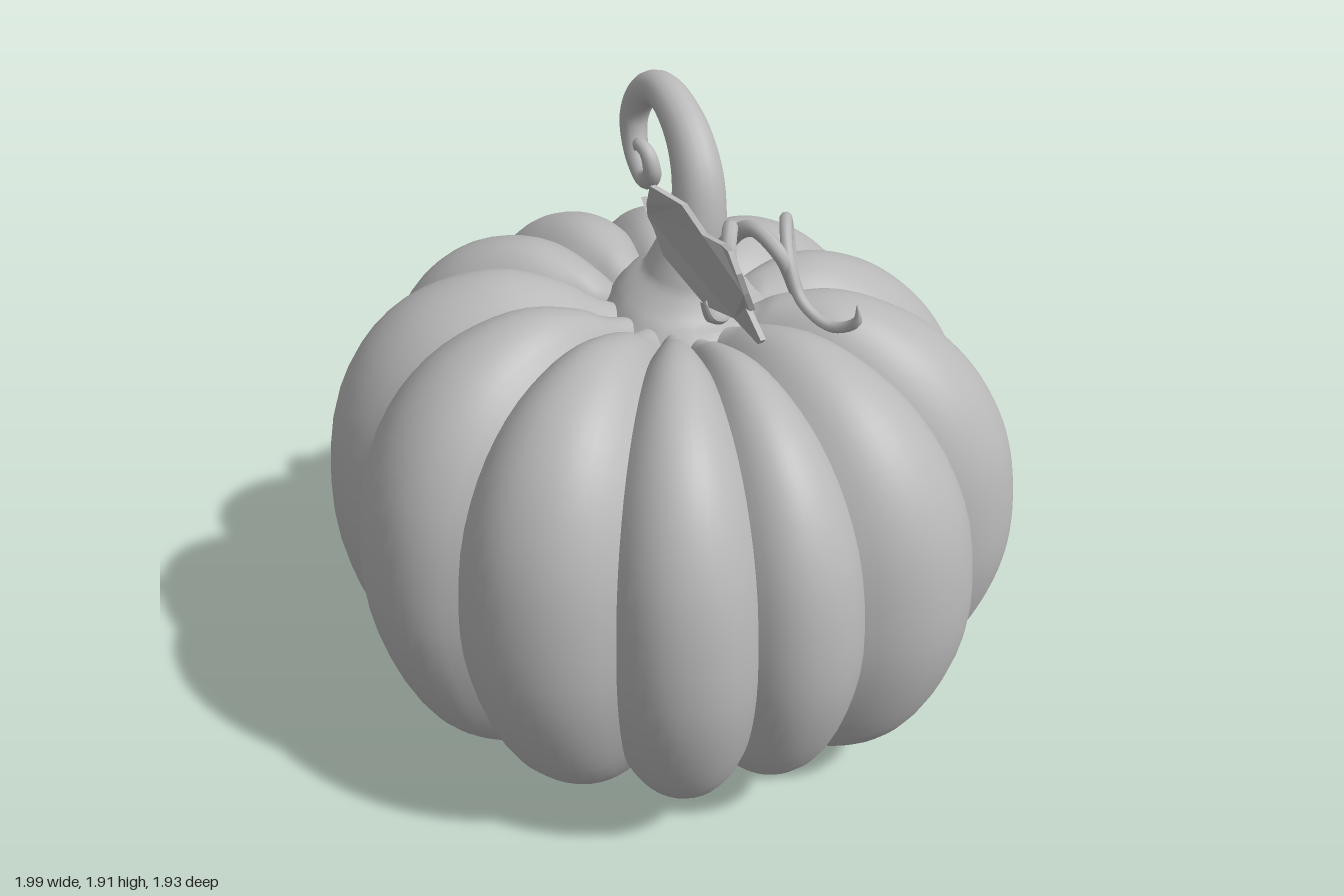
import * as THREE from 'three';

const grey = new THREE.MeshStandardMaterial({ color: 0xb8b8b8 });
grey.name = 'plain grey';

// Lobes: groove angle (degrees), groove radius, radius of the lobe that follows
const LOBES = [
  [-13.7, .915, .995], [18.8, .915, 1.015], [54, .88, 1], [85.6, .9, .96], [105.4, .89, .985], [128.8, .9, .985],
  [157.6, .91, 1], [185.8, .945, 1], [220.7, .86, .97], [253.2, .89, .97], [282, .9, .975], [309.7, .9, .99],
];
const CARVED = [11, 0, 1];

// Upright section of a lobe, from bottom centre to top centre
const profile = new THREE.SplineCurve([
  [0, .13], [.1, .11], [.25, .045], [.42, .005], [.58, .03], [.73, .11], [.87, .25], [.96, .45], [1, .68],
  [.97, .95], [.88, 1.15], [.75, 1.29], [.6, 1.37], [.45, 1.4], [.3, 1.37], [.2, 1.32], [0, 1.28],
].map(p => new THREE.Vector2(...p)));

// Face openings as (z, y) outlines
const HOLES = [
  [[.53, .89], [.5, 1.01], [.37, 1.12], [.28, 1.02], [.265, .88]],
  [[-.135, .88], [-.165, .98], [-.27, 1.095], [-.38, .98], [-.43, .89]],
  [[.12, .76], [.1, .85], [.055, .91], [-.01, .8], [-.02, .76]],
  [[.625, .785], [.5, .715], [.475, .62], [.4, .62], [.39, .67], [.315, .645], [.265, .545], [.2, .55], [.16, .62],
    [.04, .62], [.005, .54], [-.06, .55], [-.1, .63], [-.17, .6], [-.25, .575], [-.29, .62], [-.315, .68],
    [-.43, .72], [-.54, .78], [-.54, .65], [-.475, .465], [-.44, .49], [-.37, .48], [-.32, .405], [-.16, .375],
    [-.11, .46], [-.05, .44], [-.03, .36], [.09, .345], [.125, .44], [.185, .45], [.23, .36], [.39, .42],
    [.42, .51], [.47, .53], [.52, .455], [.59, .6]],
];

// Signed distance to the openings, negative inside
function holeDistance(z, y) {
  let best = Infinity, inside = false;
  for (const hole of HOLES) hole.forEach(([ax, ay], i) => {
    const [bx, by] = hole[(i + 1) % hole.length];
    const dx = bx - ax, dy = by - ay;
    const t = THREE.MathUtils.clamp(((z - ax) * dx + (y - ay) * dy) / (dx * dx + dy * dy), 0, 1);
    best = Math.min(best, Math.hypot(z - ax - t * dx, y - ay - t * dy));
    if ((ay > y) !== (by > y) && z < ax + (y - ay) / dy * dx) inside = !inside;
  });
  return inside ? -best : best;
}

// Smooth grid for one lobe
function lobeGeometry(k, nu, nv) {
  const [a0, n0, R] = LOBES[k], [a1, n1] = LOBES[(k + 1) % LOBES.length];
  const span = (a1 - a0 + 360) % 360, pos = [], index = [];
  const section = profile.getPoints(nv);
  for (let j = 0; j <= nv; j++) for (let i = 0; i <= nu; i++) {
    const u = i / nu, angle = THREE.MathUtils.degToRad(a0 + span * u);
    const bump = 1 - Math.abs(2 * u - 1) ** 2.2;
    const full = THREE.MathUtils.lerp(THREE.MathUtils.lerp(n0, n1, u), R, bump);
    const rho = Math.max(section[j].x, 0);
    const f = 1 - (1 - full) * Math.min(1, rho / .3);
    const x = rho * f * Math.cos(angle), z = rho * f * Math.sin(angle);
    pos.push(x, Math.max(0, (.7 + (section[j].y - .7) * f) * (1 - .07 * x)), z);
    if (i < nu && j < nv) {
      const a = j * (nu + 1) + i, b = a + nu + 1;
      index.push(a, b, a + 1, a + 1, b, b + 1);
    }
  }
  const g = new THREE.BufferGeometry();
  g.setAttribute('position', new THREE.Float32BufferAttribute(pos, 3));
  g.setIndex(index);
  g.computeVertexNormals();
  return g;
}

// Cut the openings out of a lobe; the cut edge becomes wall strips to the inside
function carve(g) {
  const P = g.attributes.position, N = g.attributes.normal, idx = g.index.array;
  const verts = [];
  for (let i = 0; i < P.count; i++) verts.push({
    p: new THREE.Vector3().fromBufferAttribute(P, i),
    n: new THREE.Vector3().fromBufferAttribute(N, i), d: holeDistance(P.getZ(i), P.getY(i)),
  });
  const pos = [], nor = [], wall = [];
  for (let t = 0; t < idx.length; t += 3) {
    const kept = [];
    let start, end;
    for (let c = 0; c < 3; c++) {
      const a = verts[idx[t + c]], b = verts[idx[t + (c + 1) % 3]];
      if (a.d >= 0) kept.push(a);
      if ((a.d >= 0) !== (b.d >= 0)) {
        const s = a.d / (a.d - b.d);
        const cut = { p: a.p.clone().lerp(b.p, s), n: a.n.clone().lerp(b.n, s).normalize() };
        kept.push(cut);
        if (a.d >= 0) start = cut; else end = cut;
      }
    }
    for (let i = 1; i + 1 < kept.length; i++) for (const v of [kept[0], kept[i], kept[i + 1]]) {
      pos.push(...v.p); nor.push(...v.n);
    }
    if (start) {
      const a = start.p, b = end.p, c = inward(a), d = inward(b);
      for (const v of [b, a, c, b, c, d]) wall.push(...v);
    }
  }
  const skin = new THREE.BufferGeometry(), walls = new THREE.BufferGeometry();
  skin.setAttribute('position', new THREE.Float32BufferAttribute(pos, 3));
  skin.setAttribute('normal', new THREE.Float32BufferAttribute(nor, 3));
  walls.setAttribute('position', new THREE.Float32BufferAttribute(wall, 3));
  walls.computeVertexNormals();
  return { skin, walls };
}

const inward = p => new THREE.Vector3(p.x * .88, .7 + (p.y - .7) * .88, p.z * .88);

// Inner skin: shrunken copy turned inside out
function innerSkin(source) {
  const g = source.index ? source.toNonIndexed() : source.clone();
  g.translate(0, -.7, 0).scale(.88, .88, .88).translate(0, .7, 0);
  for (const name of ['position', 'normal']) {
    const a = g.attributes[name].array;
    for (let i = 0; i < a.length; i += 9) for (let c = 0; c < 3; c++) {
      [a[i + 3 + c], a[i + 6 + c]] = [a[i + 6 + c], a[i + 3 + c]];
    }
    if (name === 'normal') for (let i = 0; i < a.length; i++) a[i] = -a[i];
  }
  return g;
}

// Tube through [x, y, z, radius] points
function taperedTube(points, segments, sides) {
  const curve = new THREE.CatmullRomCurve3(points.map(p => new THREE.Vector3(p[0], p[1], p[2])));
  const g = new THREE.TubeGeometry(curve, segments, 1, sides);
  const P = g.attributes.position, v = new THREE.Vector3();
  for (let i = 0; i < P.count; i++) {
    const u = Math.floor(i / (sides + 1)) / segments, c = curve.getPointAt(u);
    const t = curve.getUtoTmapping(u) * (points.length - 1), k = Math.min(Math.floor(t), points.length - 2);
    const r = THREE.MathUtils.lerp(points[k][3], points[k + 1][3], t - k);
    v.fromBufferAttribute(P, i).sub(c).multiplyScalar(r).add(c);
    P.setXYZ(i, v.x, v.y, v.z);
  }
  g.computeVertexNormals();
  return g;
}

// Lobed leaf standing in the z-y plane, leaning and slightly cupped
function leafGeometry() {
  const outline = [[.72, 1.82], [.64, 1.835], [.57, 1.815], [.5, 1.81], [.47, 1.885], [.39, 1.91], [.34, 1.84],
    [.29, 1.775], [.2, 1.78], [.195, 1.7], [.26, 1.635], [.34, 1.65], [.42, 1.56], [.5, 1.555], [.57, 1.51],
    [.63, 1.56], [.58, 1.63], [.67, 1.68], [.7, 1.75]];
  const shape = new THREE.Shape(outline.map(([z, y]) => new THREE.Vector2(-z, y)));
  const g = new THREE.ExtrudeGeometry(shape, { depth: .015, bevelEnabled: false }).rotateY(Math.PI / 2);
  const P = g.attributes.position;
  for (let i = 0; i < P.count; i++) {
    const y = P.getY(i), z = P.getZ(i);
    P.setX(i, P.getX(i) - .12 - .37 * (y - 1.53) + .03 * Math.sin(z * 14));
  }
  g.computeVertexNormals();
  return g;
}

export function createModel() {
  const model = new THREE.Group();
  const add = (name, geometry, parent = model) => {
    const mesh = new THREE.Mesh(geometry, grey);
    mesh.name = name;
    parent.add(mesh);
  };

  // Hollow pumpkin
  const body = new THREE.Group();
  body.name = 'pumpkinBody';
  model.add(body);
  LOBES.forEach((_, k) => {
    const carved = CARVED.includes(k);
    let skin = lobeGeometry(k, carved ? 44 : 14, carved ? 120 : 48);
    if (carved) {
      const cut = carve(skin);
      skin = cut.skin;
      add('carvedWalls', cut.walls, body);
    }
    add('lobe', skin, body);
    add('innerLobe', innerSkin(skin), body);
  });

  // Curled stem
  add('stem', taperedTube([
    [.055, 1.27, -.02, .25], [.055, 1.33, -.02, .2], [.06, 1.4, -.01, .13], [.07, 1.5, 0, .095], [.08, 1.6, .01, .077],
    [.09, 1.7, -.02, .07], [.1, 1.79, -.1, .062], [.1, 1.85, -.22, .051], [.095, 1.82, -.31, .046],
    [.085, 1.73, -.36, .042], [.075, 1.63, -.33, .036], [.06, 1.585, -.25, .03], [.045, 1.63, -.185, .026],
    [.035, 1.69, -.195, .022], [.03, 1.7, -.24, .017], [.03, 1.67, -.26, 0],
  ], 110, 16));

  // Coiled vine and leaf stalk
  add('vine', taperedTube([
    [.07, 1.38, .07, .03], [.09, 1.57, .16, .025], [.1, 1.64, .26, .022], [.12, 1.6, .36, .02], [.17, 1.49, .36, .019],
    [.22, 1.48, .27, .018], [.23, 1.6, .22, .018], [.19, 1.65, .27, .017], [.14, 1.6, .36, .016],
    [.14, 1.5, .43, .016], [.17, 1.46, .52, .015], [.2, 1.5, .59, .014], [.19, 1.56, .6, 0],
  ], 120, 8));
  add('leafStalk', taperedTube([
    [-.15, 1.58, .42, .01], [-.12, 1.52, .41, .018], [-.07, 1.5, .39, .02], [-.03, 1.55, .36, .021],
    [-.03, 1.65, .34, .021], [0, 1.69, .3, .02], [.02, 1.63, .26, .018], [.01, 1.56, .28, 0],
  ], 60, 8));
  add('leaf', leafGeometry());
  return model;
}
